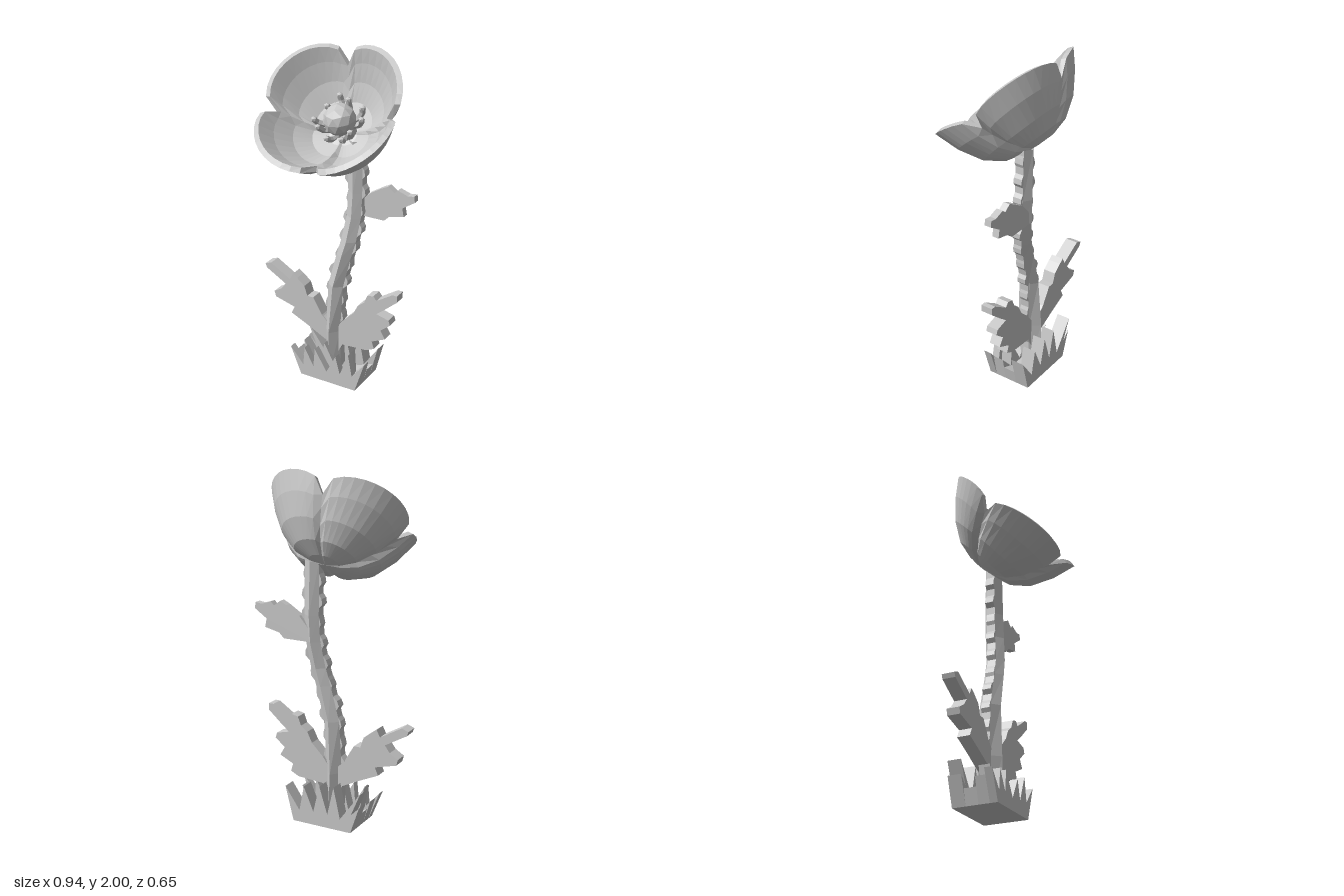
import * as THREE from 'three';

const stone = new THREE.MeshStandardMaterial({ color: 0xc8c8c8, flatShading: true });
stone.name = 'stone grey';

function add(parent, name, geometry) {
  const mesh = new THREE.Mesh(geometry, stone);
  mesh.name = name;
  parent.add(mesh);
  return mesh;
}

// Surface through closed rings: point(row, col) gives [x, y, z]
function loft(rows, cols, point) {
  const pos = [], idx = [];
  for (let i = 0; i < rows; i++)
    for (let j = 0; j < cols; j++) pos.push(...point(i, j));
  for (let i = 0; i < rows - 1; i++)
    for (let j = 0; j < cols; j++) {
      const k = (j + 1) % cols;
      const a = i * cols + j, b = i * cols + k, c = b + cols, d = a + cols;
      idx.push(a, b, c, a, c, d);
    }
  const g = new THREE.BufferGeometry();
  g.setAttribute('position', new THREE.Float32BufferAttribute(pos, 3));
  g.setIndex(idx);
  g.computeVertexNormals();
  return g;
}

// Flat outline in x, y, extruded between two z values
function plate(points, zBack, zFront) {
  const shape = new THREE.Shape(points.map(p => new THREE.Vector2(p[0], p[1])));
  const g = new THREE.ExtrudeGeometry(shape, { depth: zFront - zBack, bevelEnabled: false });
  return g.translate(0, 0, zBack);
}

// Stem spine: y, x, z, half width, half depth
const spine = [
  [0.03, 0, -0.135, 0.045, 0.085], [0.3, -0.008, -0.133, 0.047, 0.08],
  [0.6, 0.008, -0.135, 0.048, 0.065], [0.8, 0.058, -0.138, 0.047, 0.06],
  [0.9, 0.085, -0.143, 0.047, 0.058], [1.05, 0.108, -0.16, 0.045, 0.058],
  [1.2, 0.112, -0.167, 0.045, 0.057], [1.5, 0.105, -0.168, 0.044, 0.052],
];
function spineAt(y) {
  let i = 0;
  while (i < spine.length - 2 && y > spine[i + 1][0]) i++;
  const t = (y - spine[i][0]) / (spine[i + 1][0] - spine[i][0]);
  return spine[i].map((v, k) => v + (spine[i + 1][k] - v) * t);
}

function makeStem() {
  const g = new THREE.Group();
  g.name = 'stem';
  // Six-sided core with a ridge at front and back and flat edges left and right
  const section = [[1, 0.026], [1, -0.026], [0, -1], [-1, -0.026], [-1, 0.026], [0, 1]];
  add(g, 'stemCore', loft(spine.length, 6, (i, j) => {
    const [y, x, z, w, d] = spine[i], [sx, sz] = section[j];
    return [x + sx * w, y, z + (sx === 0 ? sz * d : sz)];
  }));
  // Toothed ridge along both edges
  const side = s => {
    const pts = [];
    for (let i = 0; i < 11; i++) {
      const y = 0.2 + i * 0.115 + (s > 0 ? 0.04 : 0);
      const bump = 0.016 + 0.007 * Math.sin(i * 2.3 + s);
      for (const [dy, out] of [[0, -0.004], [0.03, bump], [0.06, bump - 0.005], [0.085, -0.002]]) {
        const p = spineAt(y + dy);
        pts.push([p[1] + s * (p[3] + out), y + dy]);
      }
    }
    return pts;
  };
  const ridge = plate([...side(1), ...side(-1).reverse()], -0.026, 0.026);
  const p = ridge.attributes.position;
  for (let i = 0; i < p.count; i++) p.setZ(i, p.getZ(i) + spineAt(p.getY(i))[2]);
  ridge.computeVertexNormals();
  add(g, 'stemTeeth', ridge);
  return g;
}

function makeLeaves() {
  const g = new THREE.Group();
  g.name = 'leaves';
  add(g, 'rightLowerLeaf', plate([
    [0, 0.1], [0, 0.3], [-0.08, 0.38], [-0.14, 0.48], [-0.18, 0.48], [-0.2, 0.54], [-0.25, 0.58],
    [-0.28, 0.6], [-0.3, 0.56], [-0.43, 0.635], [-0.47, 0.62], [-0.46, 0.595], [-0.33, 0.52],
    [-0.36, 0.48], [-0.41, 0.45], [-0.4, 0.415], [-0.27, 0.38], [-0.29, 0.335], [-0.17, 0.28], [-0.05, 0.22],
  ], -0.175, -0.1));
  add(g, 'leftLowerLeaf', plate([
    [0, 0.1], [0.06, 0.22], [0.22, 0.23], [0.27, 0.255], [0.255, 0.3], [0.34, 0.34], [0.31, 0.39],
    [0.37, 0.44], [0.36, 0.47], [0.28, 0.49], [0.33, 0.53], [0.41, 0.6], [0.41, 0.64], [0.38, 0.64],
    [0.28, 0.575], [0.26, 0.6], [0.22, 0.59], [0.2, 0.54], [0.16, 0.51], [0.13, 0.45], [0.06, 0.38], [0, 0.3],
  ], -0.17, -0.1));
  add(g, 'leftUpperLeaf', plate([
    [0.1, 1.05], [0.28, 1.05], [0.31, 1.08], [0.4, 1.1], [0.39, 1.15], [0.465, 1.2], [0.46, 1.235],
    [0.42, 1.23], [0.36, 1.25], [0.34, 1.23], [0.3, 1.26], [0.26, 1.24], [0.18, 1.19], [0.1, 1.1],
  ], -0.21, -0.17));
  return g;
}

function makeGrass() {
  const g = new THREE.Group();
  g.name = 'grass';
  // Rows of blades from front to back (low around the stem): alternating tips and valleys
  const rows = [
    [0, -0.045, [[0.26, 0.19], [0.18, 0.09], [0.155, 0.225], [0.1, 0.08], [0.07, 0.19], [0.01, 0.07],
      [-0.07, 0.2], [-0.08, 0.08], [-0.14, 0.19], [-0.15, 0.07], [-0.235, 0.17]]],
    [-0.045, -0.11, [[0.23, 0.15], [0.15, 0.06], [0.14, 0.21], [0.06, 0.06], [-0.03, 0.23], [-0.07, 0.06],
      [-0.17, 0.21], [-0.14, 0.06], [-0.21, 0.14]]],
    [-0.11, -0.185, [[0.22, 0.09], [0.12, 0.05], [-0.1, 0.05], [-0.19, 0.09]]],
    [-0.185, -0.265, [[0.25, 0.2], [0.16, 0.07], [0.13, 0.22], [0.07, 0.08], [0.03, 0.24], [-0.02, 0.08],
      [-0.06, 0.25], [-0.1, 0.07], [-0.225, 0.24], [-0.17, 0.11], [-0.22, 0.16]]],
  ];
  rows.forEach(([front, back, tips], i) => add(g, 'grassBlades' + (i + 1),
    plate([[-0.165, 0], [0.2, 0], ...tips], back, front)));
  return g;
}

function makeFlower() {
  const g = new THREE.Group();
  g.name = 'flower';
  g.position.set(0.022, 1.72, 0.006);
  g.rotation.set(-0.848, 0, 0.13);
  // Four-lobed bowl of petals; outer wall out to the rim, then inner wall back
  const ts = [0, 0.22, 0.45, 0.68, 0.87, 1];
  const n = ts.length, cols = 48;
  add(g, 'petals', loft(n * 2, cols, (i, j) => {
    const inner = i >= n, t = inner ? ts[2 * n - 1 - i] : ts[i];
    const a = j / cols * Math.PI * 2;
    const lobe = Math.pow(Math.abs(Math.sin(2 * a)), 0.32);
    const r = (0.34 + 0.088 * lobe - (inner ? 0.03 : 0)) * t;
    const base = inner ? -0.265 : -0.312;
    const rim = -0.085 + 0.11 * lobe + (inner ? 0.008 : 0);
    // Lobes bulge more than the creases, and the front more than the back
    const swell = (inner ? 0.7 : 1.1) - 0.55 * Math.sin(a);
    return [r * Math.cos(a), r * Math.sin(a), base + (rim - base) * Math.pow(t, 2 + lobe * swell)];
  }));

  // Seed head ringed by short thick stamens
  const heart = new THREE.Group();
  heart.name = 'flowerCentre';
  heart.position.set(0.02, 0.005, -0.13);
  g.add(heart);
  add(heart, 'seedHead', new THREE.IcosahedronGeometry(0.092, 1));
  const neck = add(heart, 'seedHeadNeck', new THREE.CylinderGeometry(0.05, 0.06, 0.13, 8));
  neck.rotation.x = Math.PI / 2;
  neck.position.z = -0.09;
  for (let i = 0; i < 10; i++) {
    const a = i / 10 * Math.PI * 2 + 0.12 * Math.sin(i * 4);
    const reach = 0.132 + 0.016 * Math.sin(i * 2.7);
    const path = [[0.06, -0.06], [0.1, -0.045], [reach - 0.012, -0.02], [reach, 0.012]].map(([r, z]) =>
      new THREE.Vector3(r * Math.cos(a), r * Math.sin(a), z));
    add(heart, 'stamen', new THREE.TubeGeometry(new THREE.CatmullRomCurve3(path), 4, 0.017, 5));
    const tip = add(heart, 'stamenTip', new THREE.IcosahedronGeometry(0.018, 0));
    tip.position.copy(path[3]);
  }
  return g;
}

export function createModel() {
  const model = new THREE.Group();
  model.name = 'poppyFlower';
  model.add(makeGrass(), makeStem(), makeLeaves(), makeFlower());
  return model;
}
